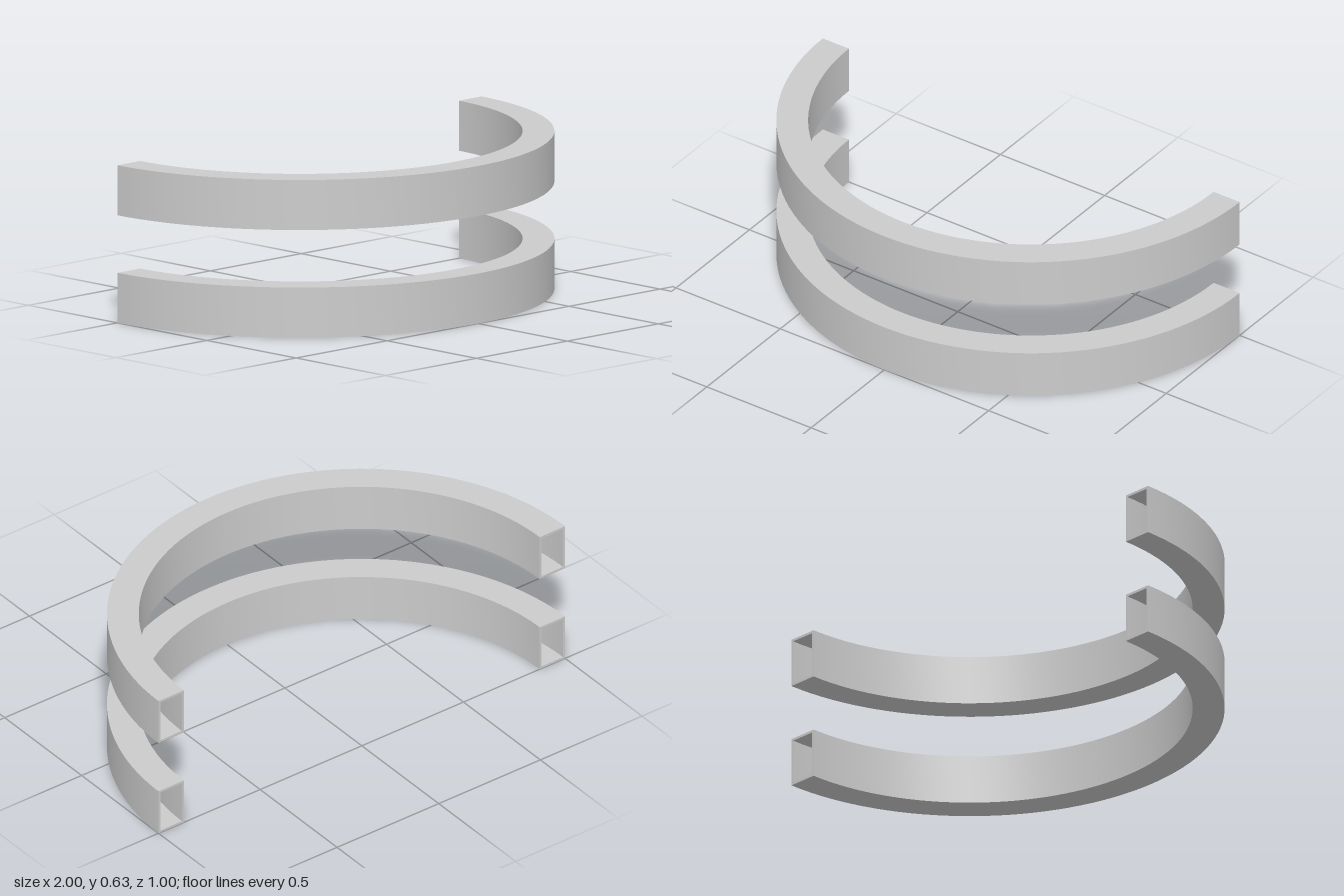
import * as THREE from 'three';
import { mergeGeometries, toCreasedNormals } from 'three/addons/utils/BufferGeometryUtils.js';

const OUTER = 1, INNER = 0.875, HEIGHT = 0.2, WALL = 0.01, SEGMENTS = 64;

// Corners of the square section, inset by d, counter-clockwise in (radius, y)
function section(d) {
  return [
    [INNER + d, d], [OUTER - d, d], [OUTER - d, HEIGHT - d], [INNER + d, HEIGHT - d],
  ].map(([r, y]) => new THREE.Vector2(r, y));
}

// Closed section swept through the front half circle
function sweep(points) {
  const lathe = new THREE.LatheGeometry([...points, points[0]], SEGMENTS, -Math.PI / 2, Math.PI);
  return toCreasedNormals(lathe, 0.5);
}

// Half ring of hollow square tube, open at both ends
function halfRing() {
  const outer = section(0), inner = section(WALL);
  const rim = new THREE.Shape(outer);
  rim.holes.push(new THREE.Path(inner));

  // Thin rims at the open ends, facing back
  const rightRim = new THREE.ShapeGeometry(rim).rotateY(Math.PI).toNonIndexed();
  const leftRim = rightRim.clone().translate(OUTER + INNER, 0, 0);

  const skin = sweep(outer);
  const cavity = sweep([...inner].reverse());
  return mergeGeometries([skin, cavity, rightRim, leftRim]).translate(0, 0, -0.5);
}

export function createModel() {
  const model = new THREE.Group();
  model.name = 'halfRingPair';
  const material = new THREE.MeshStandardMaterial({ color: 0xcccccc });
  const geometry = halfRing();

  // Two identical rings, one above the other
  for (const [name, y] of [['lowerHalfRing', 0], ['upperHalfRing', 0.43]]) {
    const ring = new THREE.Mesh(geometry, material);
    ring.name = name;
    ring.position.y = y;
    model.add(ring);
  }
  return model;
}
